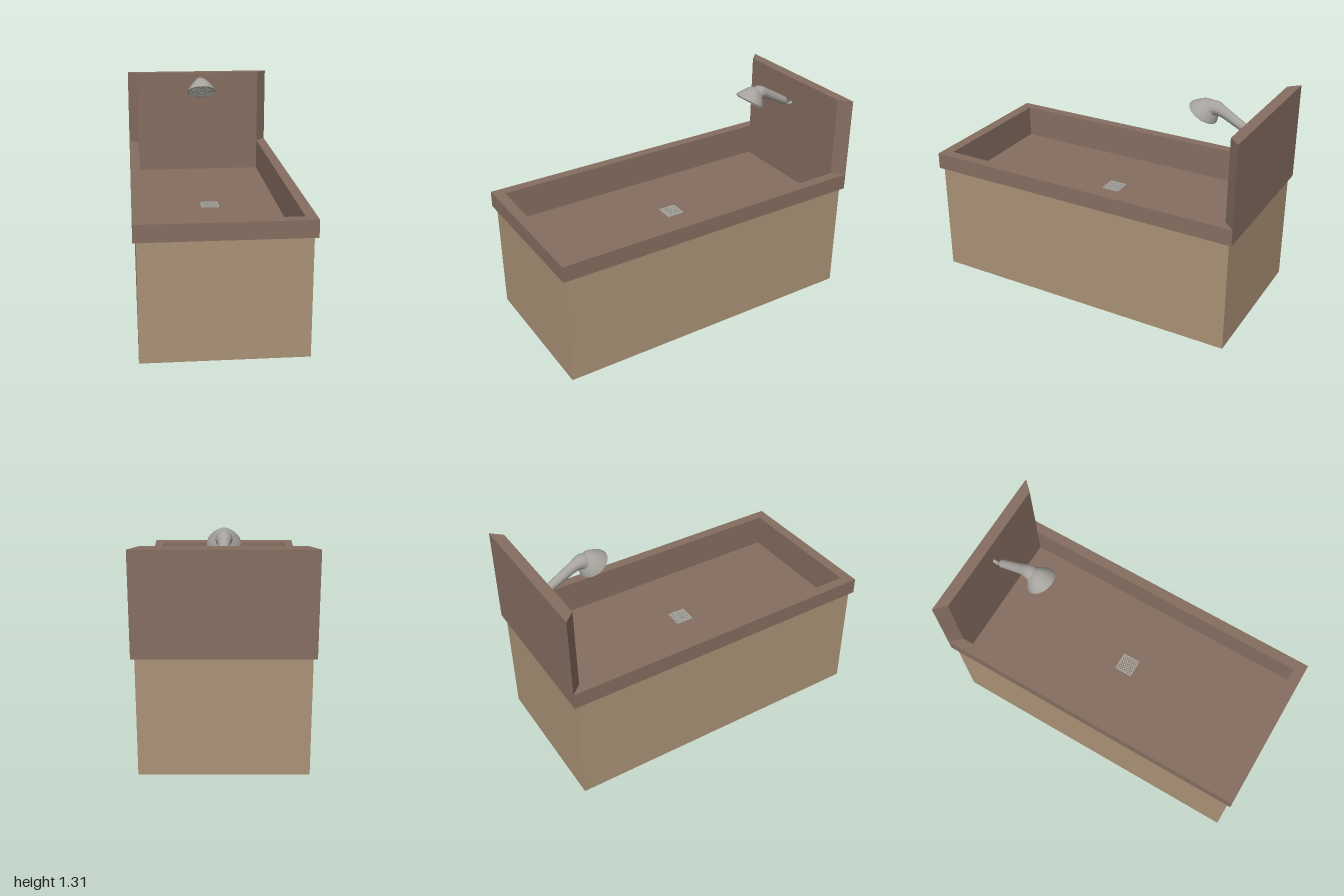
import * as THREE from 'three';
import { toCreasedNormals } from 'three/addons/utils/BufferGeometryUtils.js';

const mat = (name, color) => {
  const m = new THREE.MeshStandardMaterial({ color });
  m.name = name;
  return m;
};

// Closed rectangle centred on the origin
const rect = (hw, hd, Type = THREE.Shape) => {
  const s = new Type();
  s.moveTo(-hw, -hd).lineTo(hw, -hd).lineTo(hw, hd).lineTo(-hw, hd).closePath();
  return s;
};

// Extrude a plan shape upwards (shape y becomes -z)
const extrudeUp = (shape, height) =>
  new THREE.ExtrudeGeometry(shape, { depth: height, bevelEnabled: false }).rotateX(-Math.PI / 2);

const ring = (hw, hd, iw, id, height) => {
  const s = rect(hw, hd);
  s.holes.push(rect(iw, id, THREE.Path));
  return extrudeUp(s, height);
};

// Tube whose radius follows [position along path, radius] pairs
function taperedTube(points, radii, steps, sides) {
  const curve = new THREE.CatmullRomCurve3(points.map(([z, y]) => new THREE.Vector3(0, y, z)));
  const geo = new THREE.TubeGeometry(curve, steps, 1, sides);
  const pos = geo.attributes.position;
  const v = new THREE.Vector3();
  for (let i = 0; i < pos.count; i++) {
    const u = Math.floor(i / (sides + 1)) / steps;
    let k = 0;
    while (k < radii.length - 2 && u > radii[k + 1][0]) k++;
    const [u0, r0] = radii[k], [u1, r1] = radii[k + 1];
    const r = THREE.MathUtils.lerp(r0, r1, (u - u0) / (u1 - u0));
    const c = curve.getPointAt(u);
    v.fromBufferAttribute(pos, i).sub(c).multiplyScalar(r).add(c);
    pos.setXYZ(i, v.x, v.y, v.z);
  }
  geo.computeVertexNormals();
  return geo;
}

export function createModel() {
  const model = new THREE.Group();
  model.name = 'washTub';
  const tan = mat('tan cabinet', 0xab9377);
  const brown = mat('brown basin', 0x866e60);
  const metal = mat('grey metal', 0xa6a39e);

  const add = (name, geo, material, y = 0, parent = model) => {
    const m = new THREE.Mesh(geo, material);
    m.name = name;
    m.position.y = y;
    parent.add(m);
    return m;
  };

  const W = 0.494, D = 0.997, IW = 0.43, ID = 0.93, FLOOR = 0.595;

  // Cabinet
  add('cabinetWalls', ring(0.474, 0.975, 0.464, 0.965, 0.7), tan);
  add('cabinetBottom', extrudeUp(rect(0.474, 0.975), 0.01), tan);

  // Basin: overhanging rim, inner walls and floor
  add('rim', ring(W, D, IW, ID, 0.1), brown, 0.7);
  add('basinWalls', ring(0.46, 0.96, IW, ID, 0.7 - FLOOR), brown, FLOOR);
  add('basinFloor', extrudeUp(rect(0.46, 0.96), 0.02), brown, FLOOR - 0.02);

  // Backsplash with mitred sides
  const splash = new THREE.Shape();
  splash.moveTo(-IW, ID).lineTo(IW, ID).lineTo(W, D).lineTo(-W, D).closePath();
  add('backsplash', extrudeUp(splash, 0.5), brown, 0.8);

  // Drain grate with diamond holes
  const grate = rect(0.056, 0.056);
  const pitch = 0.0175;
  for (let i = -5; i <= 5; i++) {
    for (let j = -5; j <= 5; j++) {
      if ((i + j) % 2 !== 0) continue;
      const x = i * pitch / 2, y = j * pitch / 2, r = 0.006;
      const hole = new THREE.Path();
      hole.moveTo(x - r, y).lineTo(x, y - r).lineTo(x + r, y).lineTo(x, y + r).closePath();
      grate.holes.push(hole);
    }
  }
  add('drainGrate', extrudeUp(grate, 0.006), metal, FLOOR);

  // Shower handle, running from the head to the wall fitting
  const shower = new THREE.Group();
  shower.name = 'shower';
  model.add(shower);
  const path = [[-0.62, 1.25], [-0.66, 1.262], [-0.70, 1.25], [-0.79, 1.203],
    [-0.87, 1.157], [-0.902, 1.129], [-0.935, 1.136]];
  const radii = [[0, 0.048], [0.1, 0.046], [0.2, 0.037], [0.3, 0.031], [0.7, 0.026],
    [0.77, 0.025], [0.79, 0.017], [0.9, 0.011], [1, 0.009]];
  add('showerHandle', taperedTube(path, radii, 48, 20), metal, 0, shower);

  // Shower head, tilted forward and down
  const head = new THREE.Group();
  head.name = 'showerHead';
  head.position.set(0, 1.218, -0.583);
  head.rotation.x = -0.555;
  shower.add(head);
  const profile = [[0, 0], [0.088, 0], [0.094, 0.004], [0.091, 0.014], [0.078, 0.035],
    [0.063, 0.055], [0.047, 0.075], [0.028, 0.09], [0, 0.097]];
  const dome = new THREE.LatheGeometry(profile.map(([r, y]) => new THREE.Vector2(r, y)), 40);
  add('headDome', toCreasedNormals(dome, 0.7), metal, 0, head);

  // Spray nozzles in rings on the face
  const spots = [[0, 0]];
  for (let k = 1; k <= 6; k++) {
    for (let n = 0; n < 6 * k; n++) {
      const a = (n / (6 * k)) * Math.PI * 2;
      spots.push([Math.cos(a) * k * 0.0133, Math.sin(a) * k * 0.0133]);
    }
  }
  const nozzles = new THREE.Group();
  nozzles.name = 'sprayNozzles';
  head.add(nozzles);
  const nozzle = new THREE.CylinderGeometry(0.0036, 0.0026, 0.005, 8);
  for (const [x, z] of spots) {
    const m = add('nozzle', nozzle, metal, -0.002, nozzles);
    m.position.x = x;
    m.position.z = z;
  }

  // The whole piece stands very slightly turned
  model.rotation.y = -0.006;
  return model;
}
